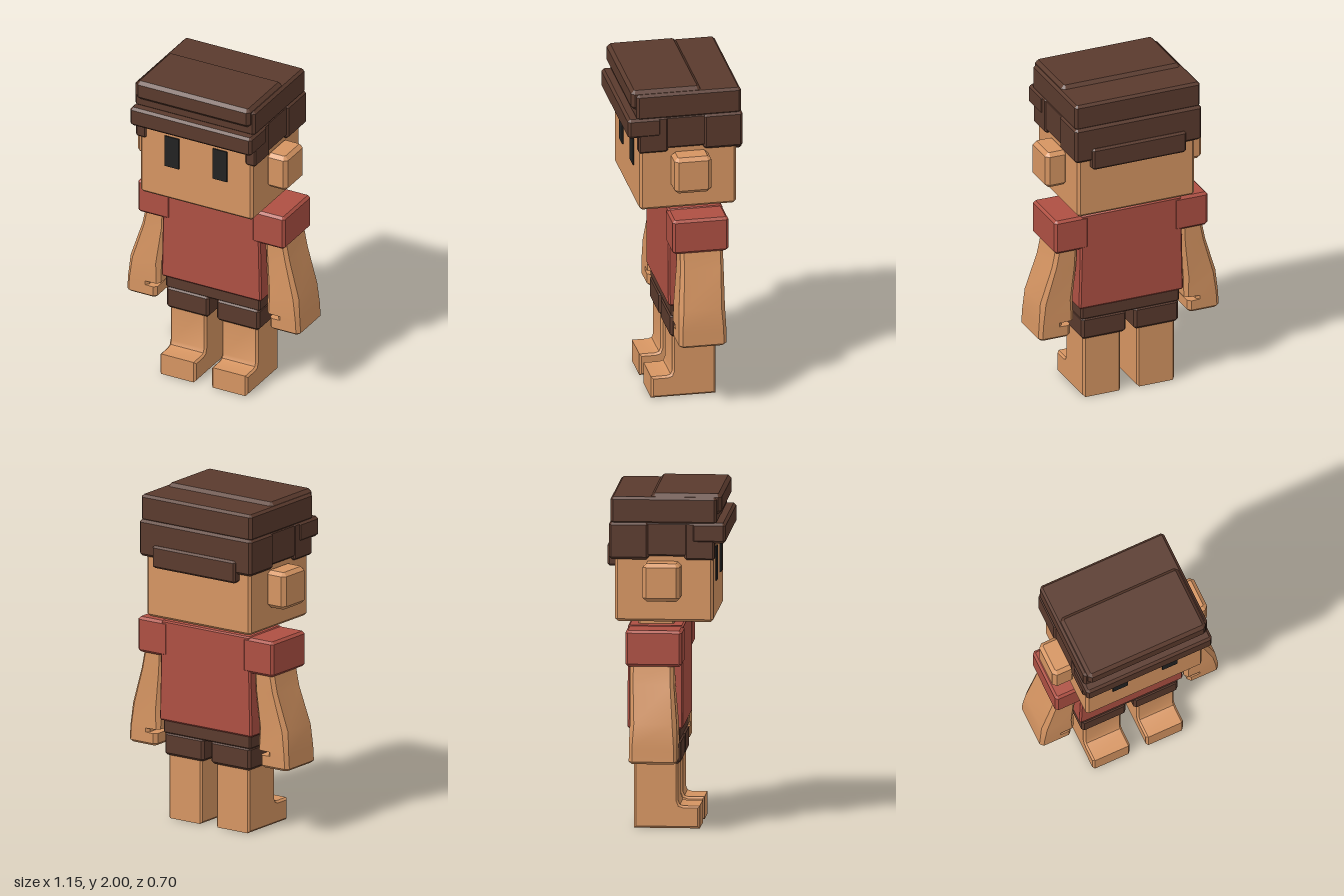
import * as THREE from 'three';
import { toCreasedNormals } from 'three/addons/utils/BufferGeometryUtils.js';

const mat = (name, color) => {
  const m = new THREE.MeshStandardMaterial({ color });
  m.name = name;
  return m;
};

// Stack of corner-cut rectangles, bottom to top: [y, x0, x1, z0, z1, cornerCut]
function loft(rings, crease = 0.5) {
  const pos = [], idx = [];
  for (const [y, xa, xb, z0, z1, c] of rings) {
    const x0 = Math.min(xa, xb), x1 = Math.max(xa, xb);
    pos.push(
      x1 - c, y, z1, x1, y, z1 - c, x1, y, z0 + c, x1 - c, y, z0,
      x0 + c, y, z0, x0, y, z0 + c, x0, y, z1 - c, x0 + c, y, z1);
  }
  for (let r = 0; r < rings.length - 1; r++) {
    for (let k = 0; k < 8; k++) {
      const a = r * 8 + k, b = r * 8 + (k + 1) % 8;
      idx.push(a, b, b + 8, a, b + 8, a + 8);
    }
  }
  const top = (rings.length - 1) * 8;
  for (let k = 1; k < 7; k++) {
    idx.push(0, k + 1, k, top, top + k, top + k + 1);
  }
  const g = new THREE.BufferGeometry();
  g.setAttribute('position', new THREE.Float32BufferAttribute(pos, 3));
  g.setIndex(idx);
  return toCreasedNormals(g, crease);
}

// Box with chamfered edges, given by its extents
function block([x0, x1], [y0, y1], [z0, z1], b = 0.015) {
  const inset = (y) => [y, x0 + b, x1 - b, z0 + b, z1 - b, b * 0.3];
  const full = (y) => [y, x0, x1, z0, z1, b];
  return loft([inset(y0), full(y0 + b), full(y1 - b), inset(y1)]);
}

export function createModel() {
  const group = new THREE.Group();
  const skin = mat('skin', 0xd69562);
  const shirt = mat('shirt red', 0xae5043);
  const brown = mat('dark brown', 0x5a3a2d);
  const black = mat('eye black', 0x222222);

  const add = (name, geometry, material) => {
    const mesh = new THREE.Mesh(geometry, material);
    mesh.name = name;
    group.add(mesh);
    return mesh;
  };
  // x extent mirrored to one side, in ascending order
  const span = (s, a, b) => (s > 0 ? [a, b] : [-b, -a]);

  // Head and neck
  add('head', block([-0.375, 0.375], [1.24, 1.86], [-0.3, 0.275]), skin);
  add('neck', block([-0.24, 0.24], [1.15, 1.28], [-0.175, 0.035], 0.01), skin);

  // Hair: crown, raised slab, fringe, back and nape
  add('hairCrown', block([-0.4, 0.4], [1.82, 1.98], [-0.325, 0.297]), brown);
  add('hairTopSlab', block([-0.38, 0.38], [1.88, 2.0], [-0.09, 0.325], 0.02), brown);
  add('hairFringe', block([-0.405, 0.405], [1.71, 1.83], [0.15, 0.35]), brown);
  add('hairBack', block([-0.405, 0.405], [1.61, 1.83], [-0.335, -0.1]), brown);
  add('hairNape', block([-0.3, 0.3], [1.555, 1.69], [-0.35, -0.29], 0.012), brown);

  // Torso and shorts
  add('torso', loft([
    [0.6, -0.325, 0.325, -0.22, 0.085, 0.003],
    [0.61, -0.333, 0.333, -0.23, 0.095, 0.01],
    [1.2, -0.32, 0.32, -0.23, 0.095, 0.01],
    [1.208, -0.31, 0.31, -0.22, 0.085, 0.003],
  ]), shirt);
  add('shortsWaist', block([-0.315, 0.315], [0.52, 0.64], [-0.215, 0.075], 0.01), brown);

  // Side profile of leg and foot, extruded across the leg's width
  const profile = new THREE.Shape([
    [-0.195, 0.005], [0.19, 0.005], [0.19, 0.138], [0.095, 0.138],
    [0.073, 0.145], [0.063, 0.17], [0.063, 0.42], [-0.195, 0.42],
  ].map(([z, y]) => new THREE.Vector2(z, y)));
  const bevel = 0.012, legWidth = 0.24;
  const legGeometry = toCreasedNormals(new THREE.ExtrudeGeometry(profile, {
    depth: legWidth - 2 * bevel, bevelEnabled: true, bevelSegments: 1,
    bevelSize: bevel, bevelThickness: bevel, bevelOffset: -bevel,
  }).translate(0, 0, bevel - legWidth / 2).rotateY(-Math.PI / 2), 0.7);

  for (const s of [1, -1]) {
    const side = s > 0 ? 'left' : 'right';

    // Face and side hair
    add(side + 'Eye', new THREE.BoxGeometry(0.095, 0.2, 0.009)
      .translate(s * 0.16, 1.56, 0.2785), black);
    add(side + 'Ear', block(span(s, 0.36, 0.5), [1.375, 1.6], [-0.13, 0.09], 0.022), skin);
    add(side + 'Sideburn', block(span(s, 0.33, 0.4), [1.61, 1.83], [0.11, 0.285], 0.01), brown);
    add(side + 'SideHair', block(span(s, 0.33, 0.395), [1.63, 1.83], [-0.12, 0.13], 0.01), brown);

    // Sleeve
    add(side + 'Sleeve', block(span(s, 0.27, 0.49), [0.99, 1.203], [-0.232, 0.1]), shirt);

    // Arm and hand in one skin, with a gap between thumb and curled fingers
    add(side + 'Arm', loft([
      [0.425, 0.39, 0.56, -0.19, 0.06, 0.012],
      [0.44, 0.375, 0.577, -0.205, 0.078, 0.02],
      [0.5, 0.375, 0.574, -0.205, 0.078, 0.02],
      [0.502, 0.43, 0.574, -0.205, 0.078, 0.02],
      [0.526, 0.43, 0.572, -0.205, 0.078, 0.02],
      [0.528, 0.355, 0.572, -0.205, 0.078, 0.02],
      [0.66, 0.355, 0.56, -0.2, 0.074, 0.025],
      [0.885, 0.335, 0.49, -0.205, 0.052, 0.02],
      [1.01, 0.33, 0.465, -0.205, 0.05, 0.02],
    ].map(([y, a, b, ...rest]) => [y, s * a, s * b, ...rest])), skin);

    // Leg, foot and trouser cuff
    add(side + 'Leg', legGeometry, skin).position.x = s * 0.172;
    add(side + 'ShortsLeg', block(span(s, 0.025, 0.31), [0.39, 0.53], [-0.215, 0.08]), brown);
  }
  return group;
}
